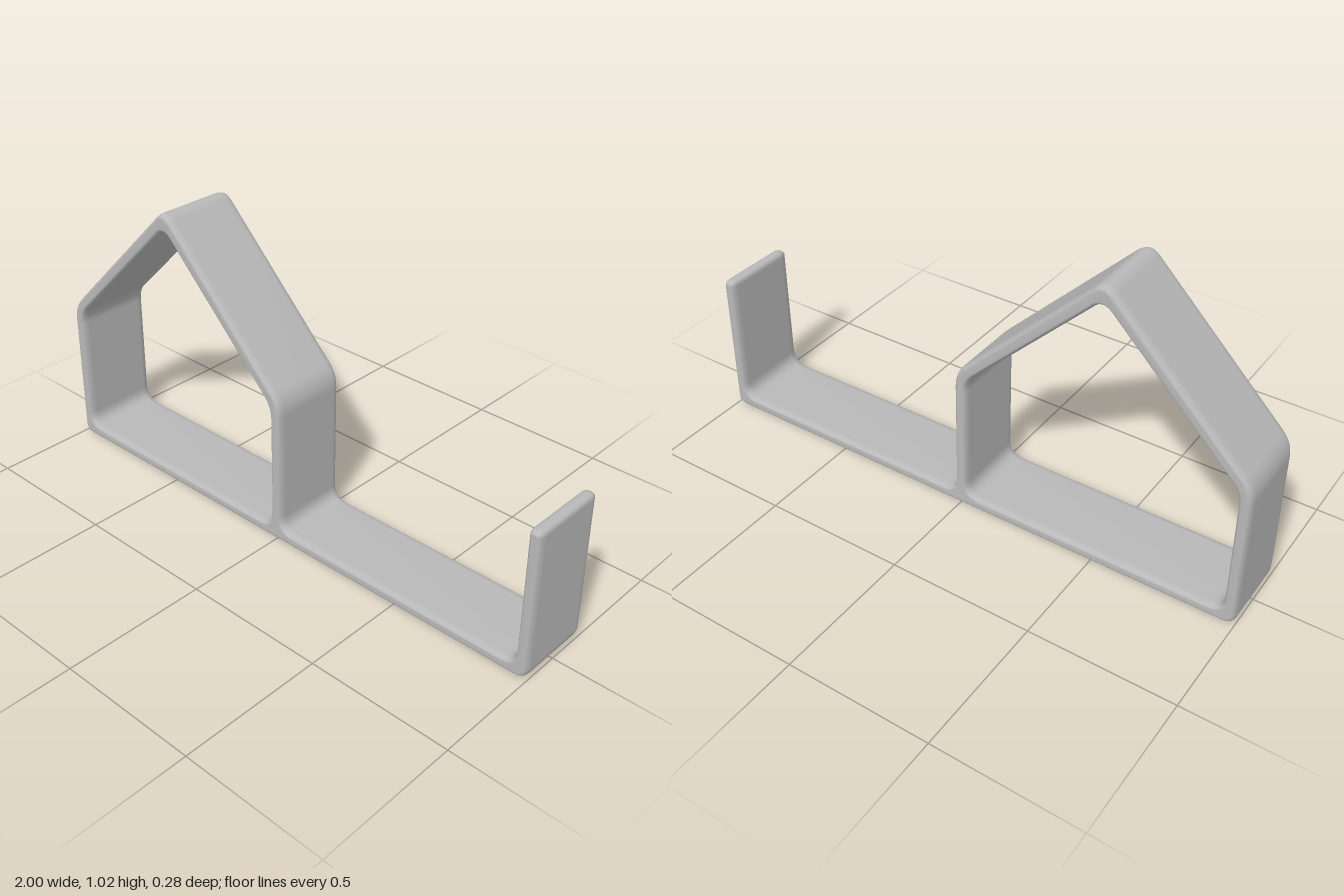
import * as THREE from 'three';
import { mergeVertices } from 'three/addons/utils/BufferGeometryUtils.js';

// Trace a closed outline of [x, y, cornerSize] points with rounded corners.
function roundedOutline(path, points) {
  const n = points.length;
  const toward = (a, b, d) => {
    const p = new THREE.Vector2(a[0], a[1]);
    const dir = new THREE.Vector2(b[0], b[1]).sub(p).normalize();
    return p.addScaledVector(dir, d);
  };
  points.forEach((p, i) => {
    const start = toward(p, points[(i + n - 1) % n], p[2]);
    const end = toward(p, points[(i + 1) % n], p[2]);
    if (i === 0) path.moveTo(start.x, start.y);
    else path.lineTo(start.x, start.y);
    path.quadraticCurveTo(p[0], p[1], end.x, end.y);
  });
  path.closePath();
  return path;
}

export function createModel() {
  const group = new THREE.Group();
  group.name = 'houseShelf';

  const grey = new THREE.MeshStandardMaterial({ color: 0xb8b8b8 });
  grey.name = 'grey';

  // Base strip, upright end and gabled house in one continuous band
  const band = roundedOutline(new THREE.Shape(), [
    [-1, 0.005, 0.04], [1, 0.005, 0.04],
    [1, 0.53, 0.0195], [0.957, 0.53, 0.0195],
    [0.957, 0.048, 0.05], [0.02, 0.048, 0.05],
    [0.02, 0.53, 0.05], [-0.49, 1.04, 0.05], [-1, 0.53, 0.05],
  ]);

  // Opening of the house
  band.holes.push(roundedOutline(new THREE.Path(), [
    [-0.957, 0.048, 0.05], [-0.957, 0.507, 0.04], [-0.49, 0.972, 0.04],
    [-0.024, 0.507, 0.04], [-0.024, 0.048, 0.05],
  ]));

  // Softly rounded edges front and back
  const bevel = 0.013, bevelDepth = 0.028, depth = 0.28;
  let geometry = new THREE.ExtrudeGeometry(band, {
    depth: depth - 2 * bevelDepth, curveSegments: 6,
    bevelEnabled: true, bevelSize: bevel, bevelOffset: -bevel,
    bevelThickness: bevelDepth, bevelSegments: 5,
  });
  geometry.translate(0, 0, -depth / 2 + bevelDepth);
  geometry.deleteAttribute('uv');
  geometry.deleteAttribute('normal');
  geometry = mergeVertices(geometry, 1e-5);
  geometry.computeVertexNormals();
  geometry.translate(0, -0.005, 0);

  const frame = new THREE.Mesh(geometry, grey);
  frame.name = 'shelfFrame';
  group.add(frame);
  return group;
}
